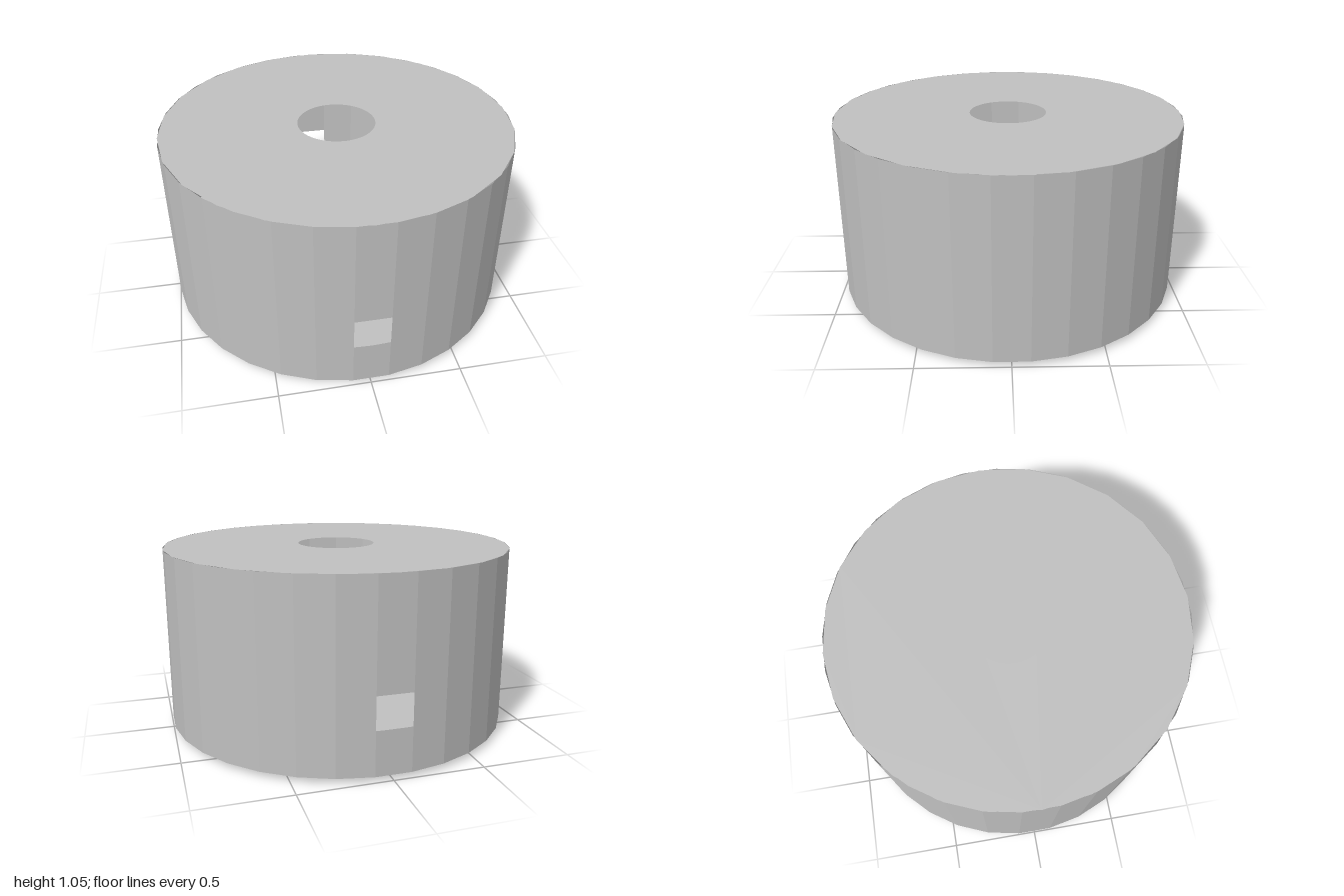
import * as THREE from 'three';
import { mergeGeometries } from 'three/addons/utils/BufferGeometryUtils.js';

const SIDES = 32, BOTTOM = 0.03, TOP = 1.05;
const SILL = 0.275, LINTEL = 0.455;

export function createModel() {
  const model = new THREE.Group();
  const grey = new THREE.MeshStandardMaterial({ color: 0xc0c0c0, side: THREE.DoubleSide });
  grey.name = 'plain grey';

  const add = (name, geometry, y = 0) => {
    const mesh = new THREE.Mesh(geometry, grey);
    mesh.name = name;
    mesh.position.y = y;
    model.add(mesh);
    return mesh;
  };

  // Thin faceted wall; the front and back facets each leave a window open
  const half = Math.PI / SIDES;
  const panel = (i, y0, y1) => new THREE.PlaneGeometry(2 * Math.sin(half), y1 - y0)
    .translate(0, (y0 + y1) / 2, Math.cos(half))
    .rotateY(i * 2 * half);
  const panels = [];
  for (let i = 0; i < SIDES; i++) {
    if (i % (SIDES / 2) === 0) {
      panels.push(panel(i, BOTTOM, SILL), panel(i, LINTEL, TOP));
    } else {
      panels.push(panel(i, BOTTOM, TOP));
    }
  }
  add('outerWall', mergeGeometries(panels));

  // Flat lid with a round hole
  const lid = new THREE.Shape();
  for (let i = 0; i < 24; i++) {
    const a = i * Math.PI / 12;
    if (i === 0) lid.moveTo(1, 0);
    else lid.lineTo(Math.cos(a), Math.sin(a));
  }
  lid.closePath();
  lid.holes.push(new THREE.Path().absarc(0, 0, 0.222, 0, Math.PI * 2, true));
  add('lid', new THREE.ShapeGeometry(lid, 48).rotateX(-Math.PI / 2), TOP);

  // Raised floor inside the wall
  add('floorPlate', new THREE.CylinderGeometry(0.994, 0.994, 0.04, 64), 0.253);

  // Central hub through the floor, with a shallow rim beneath it
  add('hub', new THREE.CylinderGeometry(0.45, 0.45, 0.37, 64), 0.205);
  add('hubRim', new THREE.CylinderGeometry(0.45, 0.45, 0.02, 64, 1, true), 0.01);

  return model;
}
